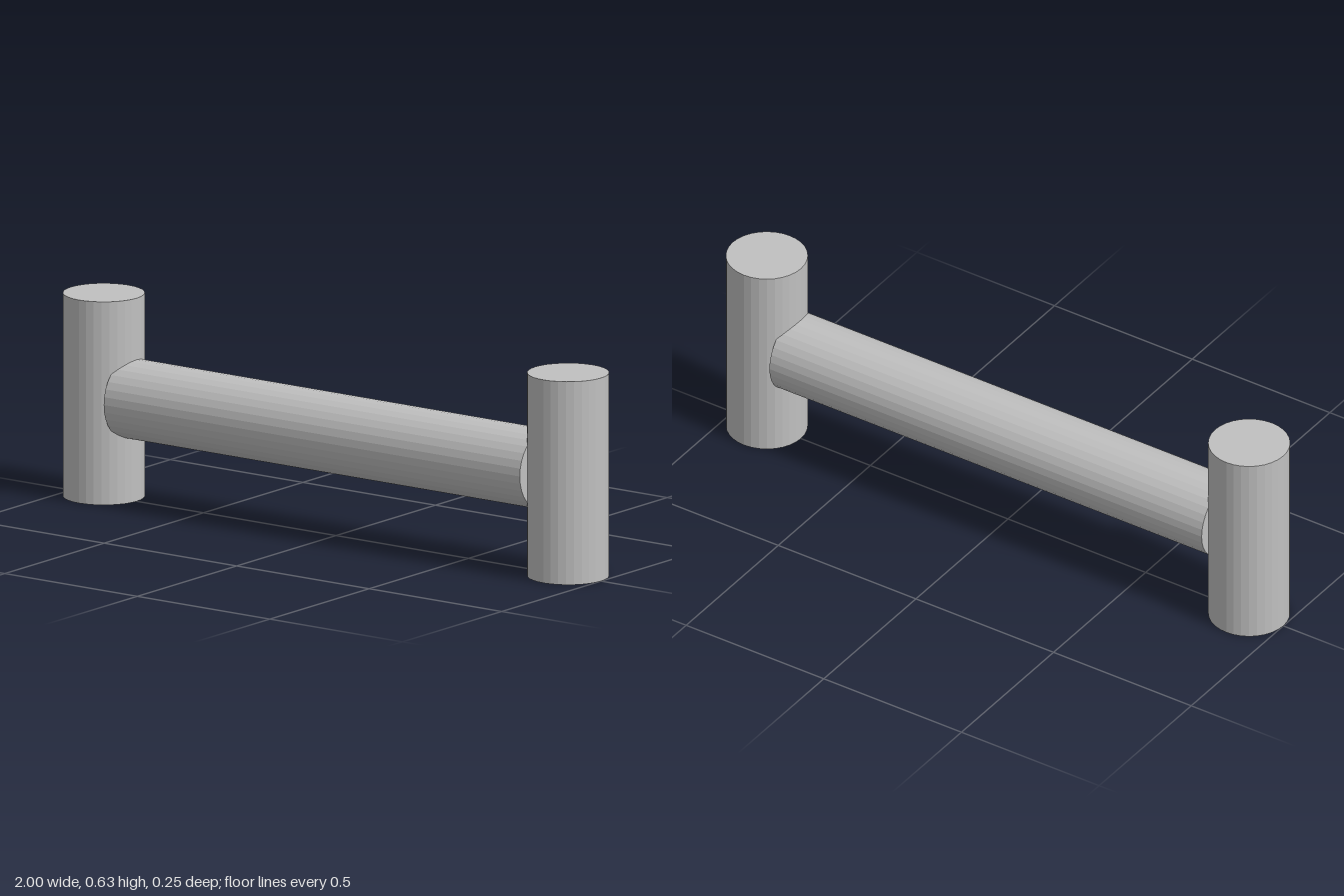
import * as THREE from 'three';

export function createModel() {
  const model = new THREE.Group();
  model.name = 'barWithEndPosts';

  const grey = new THREE.MeshStandardMaterial({ color: 0xc0c0c0, flatShading: true });
  grey.name = 'light grey';

  const radius = 0.124, postHeight = 0.63, barLength = 1.57, sides = 32;

  // Upright posts at both ends
  const postGeometry = new THREE.CylinderGeometry(radius, radius, postHeight, sides);
  for (const [name, side] of [['leftPost', 1], ['rightPost', -1]]) {
    const post = new THREE.Mesh(postGeometry, grey);
    post.name = name;
    post.position.set(side * (1 - radius), postHeight / 2, 0);
    model.add(post);
  }

  // Horizontal bar whose flat ends sink into the posts
  const barRadius = 0.122;
  const bar = new THREE.Mesh(new THREE.CylinderGeometry(barRadius, barRadius, barLength, sides), grey);
  bar.name = 'crossBar';
  bar.rotation.z = Math.PI / 2;
  bar.position.y = 0.317;
  model.add(bar);

  return model;
}
